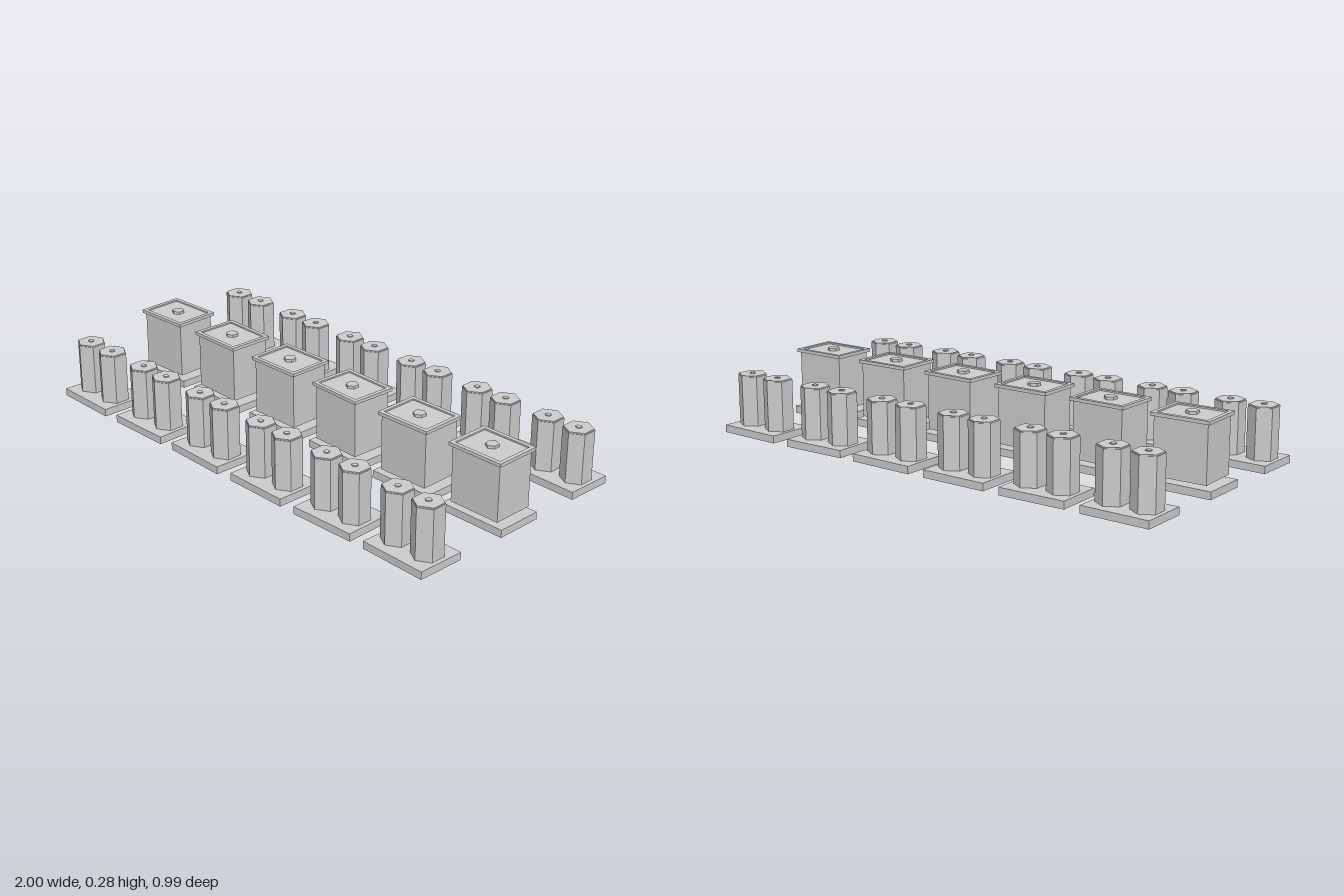
import * as THREE from 'three';

export function createModel() {
  const model = new THREE.Group();
  const stone = new THREE.MeshStandardMaterial({ color: 0xcccccc, flatShading: true });
  stone.name = 'pale grey';

  const add = (parent, name, geometry, x, y, z) => {
    const mesh = new THREE.Mesh(geometry, stone);
    mesh.name = name;
    mesh.position.set(x, y, z);
    parent.add(mesh);
    return mesh;
  };
  const hex = (r, h) => new THREE.CylinderGeometry(r, r, h, 6);

  const plinth = new THREE.BoxGeometry(0.275, 0.03, 0.19);
  const column = hex(0.059, 0.2);
  const cap = hex(0.056, 0.005);
  const stud = hex(0.012, 0.004);
  const crate = new THREE.BoxGeometry(0.215, 0.222, 0.167);
  const lid = new THREE.BoxGeometry(0.236, 0.007, 0.188);
  const knob = hex(0.025, 0.012);

  // Raised border around the lid
  const outline = new THREE.Shape();
  outline.moveTo(-0.118, -0.094).lineTo(0.118, -0.094).lineTo(0.118, 0.094).lineTo(-0.118, 0.094);
  const hole = new THREE.Path();
  hole.moveTo(-0.102, -0.078).lineTo(-0.102, 0.078).lineTo(0.102, 0.078).lineTo(0.102, -0.078);
  outline.holes.push(hole);
  const rim = new THREE.ExtrudeGeometry(outline, { depth: 0.006, bevelEnabled: false });
  rim.rotateX(-Math.PI / 2);

  // Slight turn of each plinth, row by row from back to front
  const turns = [
    [0, 0.025, 0, -0.015, 0.025, -0.02],
    [0.005, 0, 0, -0.01, 0.005, 0],
    [-0.02, 0.01, -0.025, -0.01, 0.025, -0.02],
  ];
  const crateTurns = [0.035, -0.02, 0.01, -0.04, 0.015, 0];

  turns.forEach((row, r) => row.forEach((turn, c) => {
    const unit = new THREE.Group();
    unit.name = r === 1 ? 'crateUnit' : 'columnPair';
    unit.position.set((c - 2.5) * 0.344, 0, (r - 1) * 0.397);
    model.add(unit);
    add(unit, 'plinth', plinth, 0, 0.015, 0).rotation.y = turn;

    if (r === 1) {
      // Lidded crate just above its plinth
      const box = new THREE.Group();
      box.name = 'crate';
      box.rotation.y = crateTurns[c];
      unit.add(box);
      add(box, 'crateBody', crate, 0, 0.154, 0);
      add(box, 'lid', lid, 0, 0.2675, 0);
      add(box, 'lidRim', rim, 0, 0.271, 0);
      add(box, 'lidKnob', knob, 0, 0.276, 0);
    } else {
      // Two hexagonal columns side by side
      for (const x of [-0.07, 0.07]) {
        add(unit, 'column', column, x, 0.13, 0);
        add(unit, 'columnCap', cap, x, 0.2325, 0);
        add(unit, 'capStud', stud, x, 0.237, 0);
      }
    }
  }));
  return model;
}
